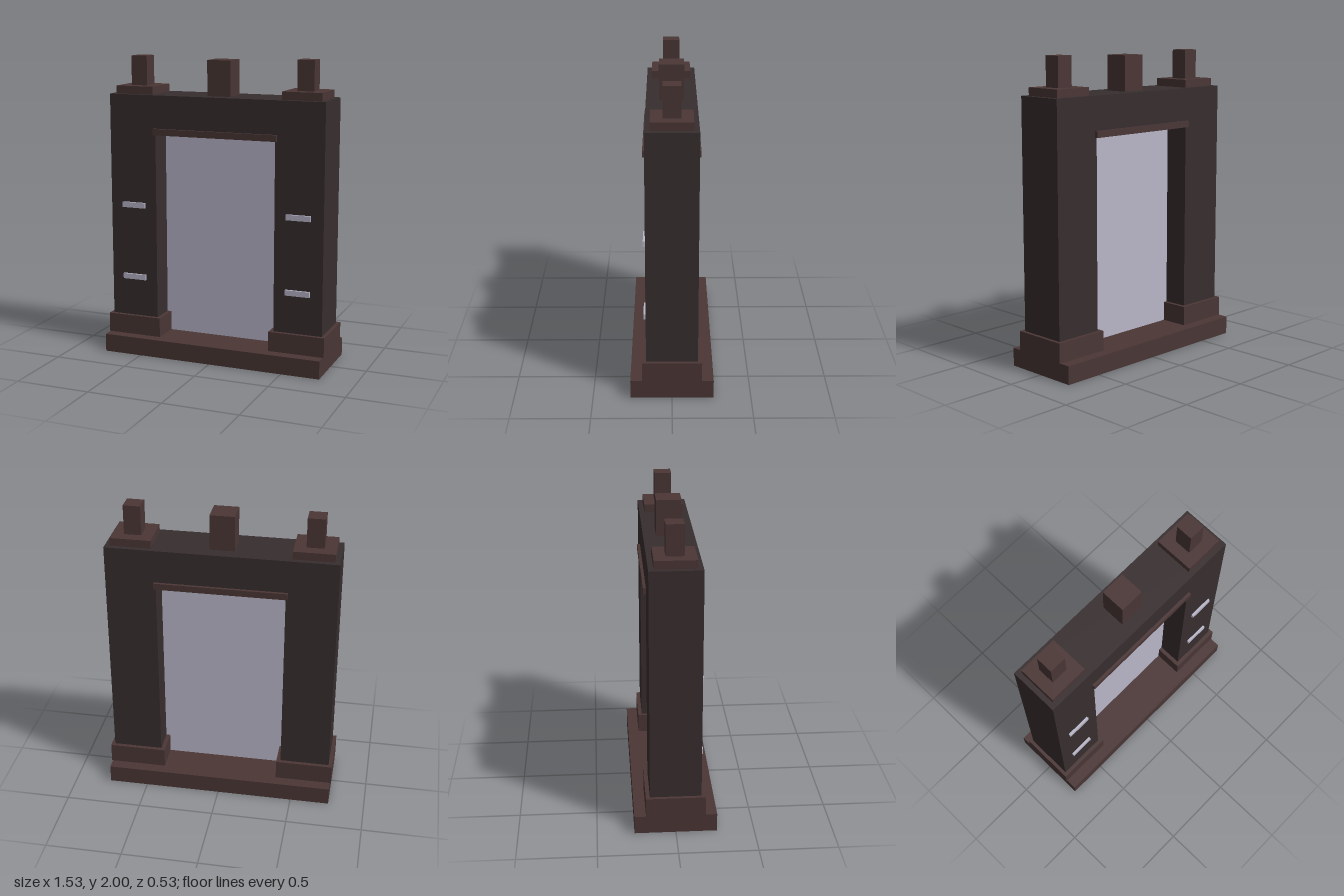
import * as THREE from 'three';

export function createModel() {
  const model = new THREE.Group();
  const material = (name, color) => {
    const m = new THREE.MeshStandardMaterial({ color });
    m.name = name;
    return m;
  };
  const darkStone = material('dark stone', 0x372d2e);
  const brownStone = material('brown stone', 0x4a3635);
  const paleGlow = material('pale lilac', 0xb9b7c9);
  brownStone.side = paleGlow.side = THREE.DoubleSide;

  const add = (name, geometry, mat, x = 0, y = 0, z = 0) => {
    const mesh = new THREE.Mesh(geometry, mat);
    mesh.name = name;
    mesh.position.set(x, y, z);
    model.add(mesh);
    return mesh;
  };
  // Box given by its width, bottom, top and depth
  const block = (name, mat, x, w, y0, y1, d, z = 0) =>
    add(name, new THREE.BoxGeometry(w, y1 - y0, d), mat, x, (y0 + y1) / 2, z);

  // Base slab, hollow and open underneath
  const base = block('base', brownStone, 0, 1.52, 0, 0.12, 0.526);
  const faces = Array.from(base.geometry.index.array);
  faces.splice(18, 6);
  base.geometry.setIndex(faces);
  base.geometry.clearGroups();

  // Gate wall: two pillars joined across the top
  const outline = new THREE.Shape([
    [-0.743, 0.12], [-0.415, 0.12], [-0.415, 1.51], [0.415, 1.51],
    [0.415, 0.12], [0.743, 0.12], [0.743, 1.753], [-0.743, 1.753],
  ].map(([x, y]) => new THREE.Vector2(x, y)));
  const wall = new THREE.ExtrudeGeometry(outline, { depth: 0.326, bevelEnabled: false });
  add('gateWall', wall, darkStone, 0, 0, -0.163);

  // Lintel lining the top of the opening
  block('lintel', brownStone, 0, 0.856, 1.493, 1.535, 0.364);

  // Thin panel filling the doorway
  add('doorwayPanel', new THREE.PlaneGeometry(0.83, 1.375), paleGlow, 0, 0.8075, 0);

  for (const side of [-1, 1]) {
    block('pillarFoot', brownStone, side * 0.577, 0.378, 0.12, 0.25, 0.378);
    block('cornerCap', brownStone, side * 0.578, 0.264, 1.753, 1.805, 0.26);
    block('cornerPost', brownStone, side * 0.578, 0.112, 1.805, 2, 0.112);
    // Pale slits on the front of each pillar
    for (const y of [0.503, 0.997])
      block('pillarSlit', paleGlow, side * 0.577, 0.164, y, y + 0.036, 0.016, 0.17);
  }

  // Middle block on top
  block('centrePost', brownStone, 0, 0.16, 1.753, 1.985, 0.16);

  return model;
}
